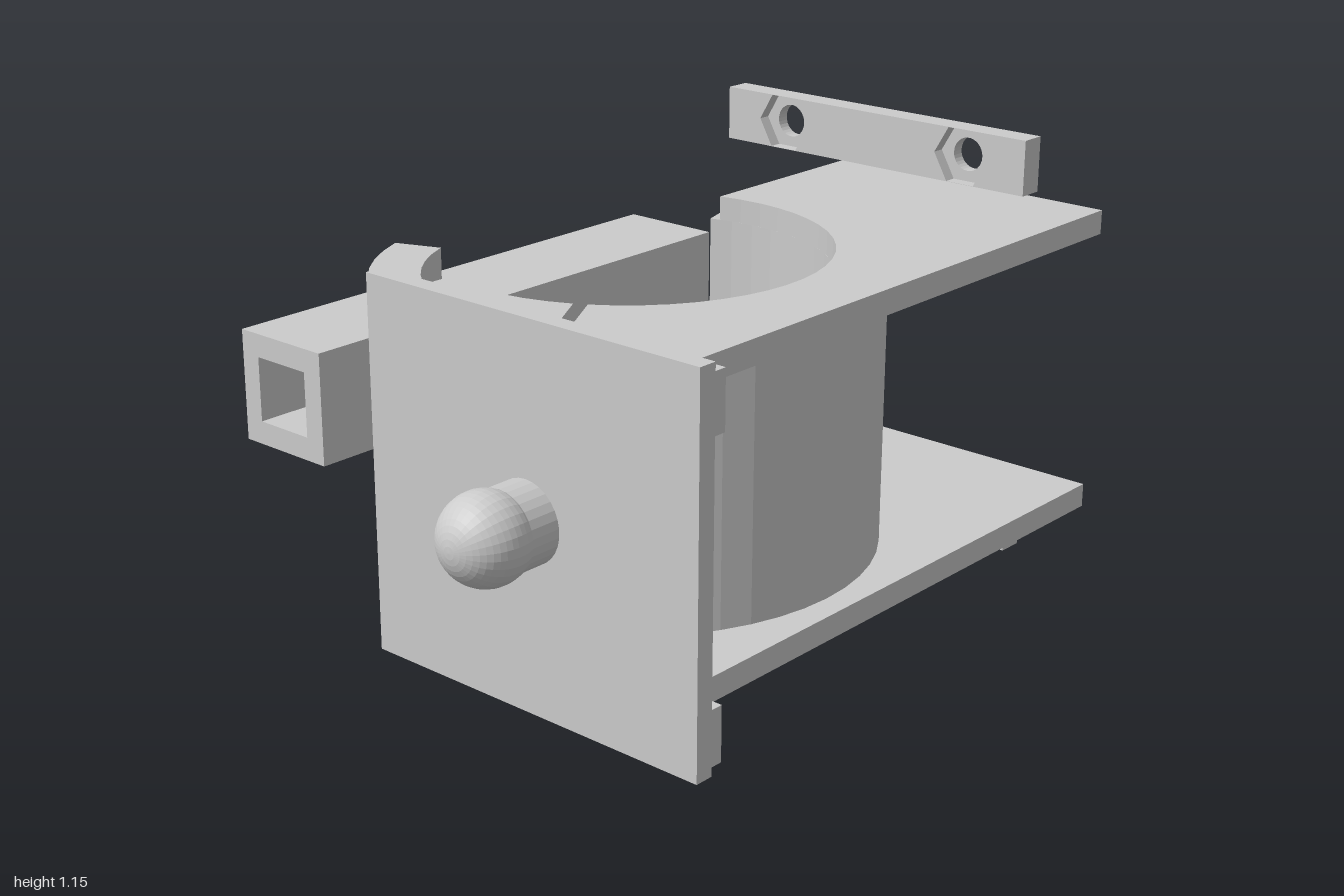
import * as THREE from 'three';

const mat = new THREE.MeshStandardMaterial({ color: 0xcccccc, flatShading: true });
const CX = -0.02, CZ = 0.04, R_IN = 0.507, R_OUT = 0.635;

// Point [x, z] on a circle around the ring axis; angle in degrees from +x towards +z
function polar(r, deg) {
  const a = THREE.MathUtils.degToRad(deg);
  return [CX + r * Math.cos(a), CZ + r * Math.sin(a)];
}

function arc(r, from, to) {
  const n = Math.max(2, Math.round(Math.abs(to - from) / 7));
  return Array.from({ length: n + 1 }, (_, i) => polar(r, from + (to - from) * i / n));
}

function mesh(name, geometry) {
  const m = new THREE.Mesh(geometry, mat);
  m.name = name;
  return m;
}

// Box given by its limits
function box(name, x0, x1, y0, y1, z0, z1) {
  const g = new THREE.BoxGeometry(x1 - x0, y1 - y0, z1 - z0);
  return mesh(name, g.translate((x0 + x1) / 2, (y0 + y1) / 2, (z0 + z1) / 2));
}

// Floor-plan outline of [x, z] points raised from y0 to y1
function raise(name, points, y0, y1) {
  const shape = new THREE.Shape(points.map(([x, z]) => new THREE.Vector2(x, -z)));
  const g = new THREE.ExtrudeGeometry(shape, { depth: y1 - y0, bevelEnabled: false });
  return mesh(name, g.rotateX(-Math.PI / 2).translate(0, y0, 0));
}

// Upright rectangle in x and y with holes, extruded from z0 to z1
function frame(name, x0, x1, y0, y1, z0, z1, holes) {
  const corners = [[x0, y0], [x1, y0], [x1, y1], [x0, y1]];
  const shape = new THREE.Shape(corners.map(p => new THREE.Vector2(...p)));
  shape.holes = holes.map(pts => new THREE.Path(pts.map(p => new THREE.Vector2(...p))));
  const g = new THREE.ExtrudeGeometry(shape, { depth: z1 - z0, bevelEnabled: false });
  return mesh(name, g.translate(0, 0, z0));
}

function polygon(x, y, r, sides) {
  return Array.from({ length: sides }, (_, i) => {
    const a = -i / sides * Math.PI * 2;
    return [x + r * Math.cos(a), y + r * Math.sin(a)];
  });
}

export function createModel() {
  const model = new THREE.Group();

  // Two plates with a round cut-out and a narrow radial slit
  const edge = THREE.MathUtils.radToDeg(Math.acos((-0.14 - CX) / R_IN));
  const plate = [
    [-0.14, -1], [0.68, -1], [0.68, 0.685], [-0.14, 0.685],
    ...arc(R_IN, edge, 61.9), polar(0.658, 61.44), polar(0.658, 58.56),
    ...arc(R_IN, 58.1, -edge),
  ];
  model.add(raise('lowerPlate', plate, 0.165, 0.228));
  model.add(raise('upperPlate', plate, 0.922, 0.985));

  // Clamp ring between the plates, in two pieces with a window at the front
  for (const [name, from, to] of [['ringFrontArc', 84, 159], ['ringMainArc', -106.8, 35.5]]) {
    model.add(raise(name, [...arc(R_IN, from, to), ...arc(R_OUT, to, from)], 0.228, 0.922));
  }

  // Front panel with a rail along its top and bottom
  model.add(box('frontPanel', -0.16, 0.83, 0.108, 1.045, 0.717, 0.765));
  model.add(box('lowerPanelRail', -0.16, 0.83, 0.13, 0.267, 0.685, 0.717));
  model.add(box('upperPanelRail', -0.16, 0.83, 0.885, 1.025, 0.685, 0.717));

  // Ball knob on a stem
  const profile = [[0, 0.76], [0.1, 0.76]];
  for (let i = 0; i <= 14; i++) {
    const a = THREE.MathUtils.lerp(-1.14 + Math.PI / 2 * 0.5, Math.PI / 2, i / 14);
    profile.push([Math.max(0, 0.11 * Math.cos(a)), 0.89 + 0.11 * Math.sin(a)]);
  }
  profile.splice(2, 0, [0.1, 0.845]);
  const knob = new THREE.LatheGeometry(profile.map(p => new THREE.Vector2(...p)), 30);
  model.add(mesh('knob', knob.rotateX(Math.PI / 2).translate(0.335, 0.575, 0)));

  // Hollow square tube at the side
  model.add(frame('squareTube', -0.832, -0.537, 0.428, 0.725, -0.88, 0.6,
    [[[-0.773, 0.49], [-0.773, 0.663], [-0.597, 0.663], [-0.597, 0.49]]]));

  // Bolt bars: round holes at the back, hexagonal nut pockets at the front
  for (const [name, y0] of [['lowerBoltBar', 0], ['upperBoltBar', 1]]) {
    const bar = new THREE.Group();
    bar.name = name;
    const y1 = y0 + 0.148, y = y0 + 0.074, xs = [-0.31, 0.286];
    bar.add(frame('boltHoles', -0.508, 0.484, y0, y1, -1, -0.965, xs.map(x => polygon(x, y, 0.045, 30))));
    bar.add(frame('nutPockets', -0.508, 0.484, y0, y1, -0.965, -0.93, xs.map(x => polygon(x, y, 0.0845, 6))));
    model.add(bar);
  }

  return model;
}
